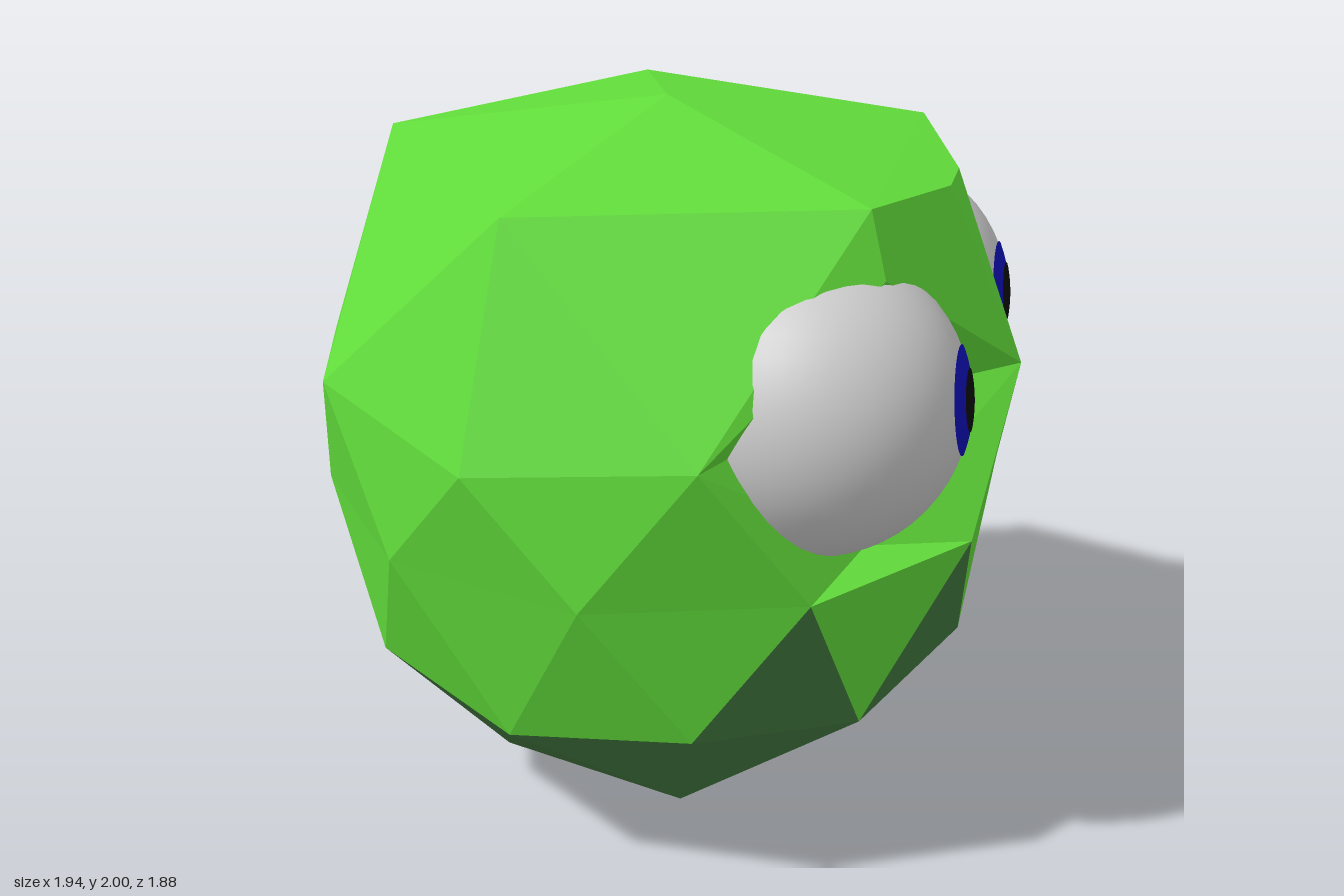
import * as THREE from 'three';

// Point on a ring around the y axis; angle 0 faces +x
const P = (r, y, deg) => {
  const a = THREE.MathUtils.degToRad(deg);
  return new THREE.Vector3(r * Math.cos(a), y, r * Math.sin(a));
};

// Flat-shaded mesh from triangles, each wound away from the body's core
function facetMesh(name, tris, color) {
  const core = new THREE.Vector3(0, 0.9, 0);
  const pos = [];
  for (const [a, b, c] of tris) {
    const n = b.clone().sub(a).cross(c.clone().sub(a));
    const order = n.dot(a.clone().sub(core)) > 0 ? [a, b, c] : [a, c, b];
    for (const p of order) pos.push(p.x, p.y, p.z);
  }
  const geo = new THREE.BufferGeometry();
  geo.setAttribute('position', new THREE.Float32BufferAttribute(pos, 3));
  geo.computeVertexNormals();
  const mesh = new THREE.Mesh(geo, new THREE.MeshStandardMaterial({ color, flatShading: true }));
  mesh.name = name;
  return mesh;
}

function createBody() {
  const body = new THREE.Group();
  body.name = 'body';
  const light = [], dark = [];

  // Rings of a faceted ball, from the bottom up
  const bottom = P(0, 0, 0), top = P(0, 2, 0);
  const a = (k) => P(0.49, 0.14, 72 * k);
  const b = (j) => (j % 2 ? P(0.79, 0.45, 36 * j) : P(0.84, 0.52, 36 * j));
  const e = (j) => P(0.94, 0.93, 18 + 36 * j);
  const u = (j) => P(0.97, j % 2 ? 1.26 : 1.33, 36 * j);
  const t = (k) => P(0.77, 1.87, 36 + 72 * k);
  const isSocket = (j) => j % 10 === 1 || j % 10 === 9;

  // Dark underside and bright crown
  for (let k = 0; k < 5; k++) {
    const o = 2 * k + 1;
    dark.push(
      [bottom, a(k), a(k + 1)],
      [a(k), b(2 * k + 9), b(2 * k)],
      [a(k), b(2 * k), b(o)],
      [a(k), b(o), a(k + 1)]
    );
    light.push([top, t(k), t(k + 1)]);
    if (!isSocket(o)) light.push([t(k), u(o - 1), u(o)], [t(k), u(o), u(o + 1)]);
    if (k < 4) light.push([t(k), u(o + 1), t(k + 1)]);
  }

  // Middle bands; four dark teeth below the eyes, gaps left for the sockets
  for (let j = 0; j < 10; j++) {
    const teeth = j < 2 || j > 7 ? dark : light;
    teeth.push([b(j), b(j + 1), e(j)]);
    light.push([b(j), e(j + 9), e(j)]);
    if (!isSocket(j)) light.push([e(j + 9), e(j), u(j)]);
    if (!isSocket(j) && !isSocket(j + 1)) light.push([e(j), u(j), u(j + 1)]);
  }

  // Brow between the eyes
  const mid = u(0);
  const browL = new THREE.Vector3(0.77, 1.83, 0.08);
  const browR = new THREE.Vector3(0.77, 1.83, -0.08);
  light.push(
    [t(0), browL, mid], [browL, browR, mid], [browR, t(4), mid],
    [t(0), browL, browR], [t(0), browR, t(4)]
  );

  // Hollow eye sockets
  for (const s of [1, -1]) {
    const lid = P(0.77, 1.87, 36 * s), outer = P(0.97, 1.33, 72 * s);
    const e0 = P(0.94, 0.93, 18 * s), e1 = P(0.94, 0.93, 54 * s);
    const roof = P(0.828, 1.7, 36 * s);
    const floor = P(0.79, 0.97, 36 * s);
    const back = P(0.6, 1.29, 36 * s);
    light.push(
      [lid, mid, roof], [lid, roof, outer],
      [roof, mid, back], [roof, back, outer],
      [mid, e0, floor], [mid, floor, back],
      [e0, e1, floor], [e1, outer, floor], [floor, outer, back]
    );
  }

  body.add(facetMesh('upperBody', light, 0x62de3b), facetMesh('lowerBody', dark, 0x447a40));
  return body;
}

function createEye(name, side) {
  const eye = new THREE.Group();
  eye.name = name;
  // Each layer is a cap of a sphere whose pole looks along +x
  const layer = (part, radius, angle, color) => {
    const geo = new THREE.SphereGeometry(radius, 40, angle > 1 ? 28 : 6, 0, Math.PI * 2, 0, angle);
    geo.rotateZ(-Math.PI / 2);
    const mesh = new THREE.Mesh(geo, new THREE.MeshStandardMaterial({ color }));
    mesh.name = part;
    eye.add(mesh);
  };
  layer('eyeball', 0.4, Math.PI, 0xcccccc);
  layer('iris', 0.405, 0.355, 0x1010b8);
  layer('pupil', 0.408, 0.2, 0x0c0c0c);
  eye.rotation.z = 0.1;
  eye.position.set(0.485, 1.34, 0.418 * side);
  return eye;
}

export function createModel() {
  const model = new THREE.Group();
  model.name = 'creature';
  model.add(createBody(), createEye('frontEye', 1), createEye('backEye', -1));
  return model;
}
